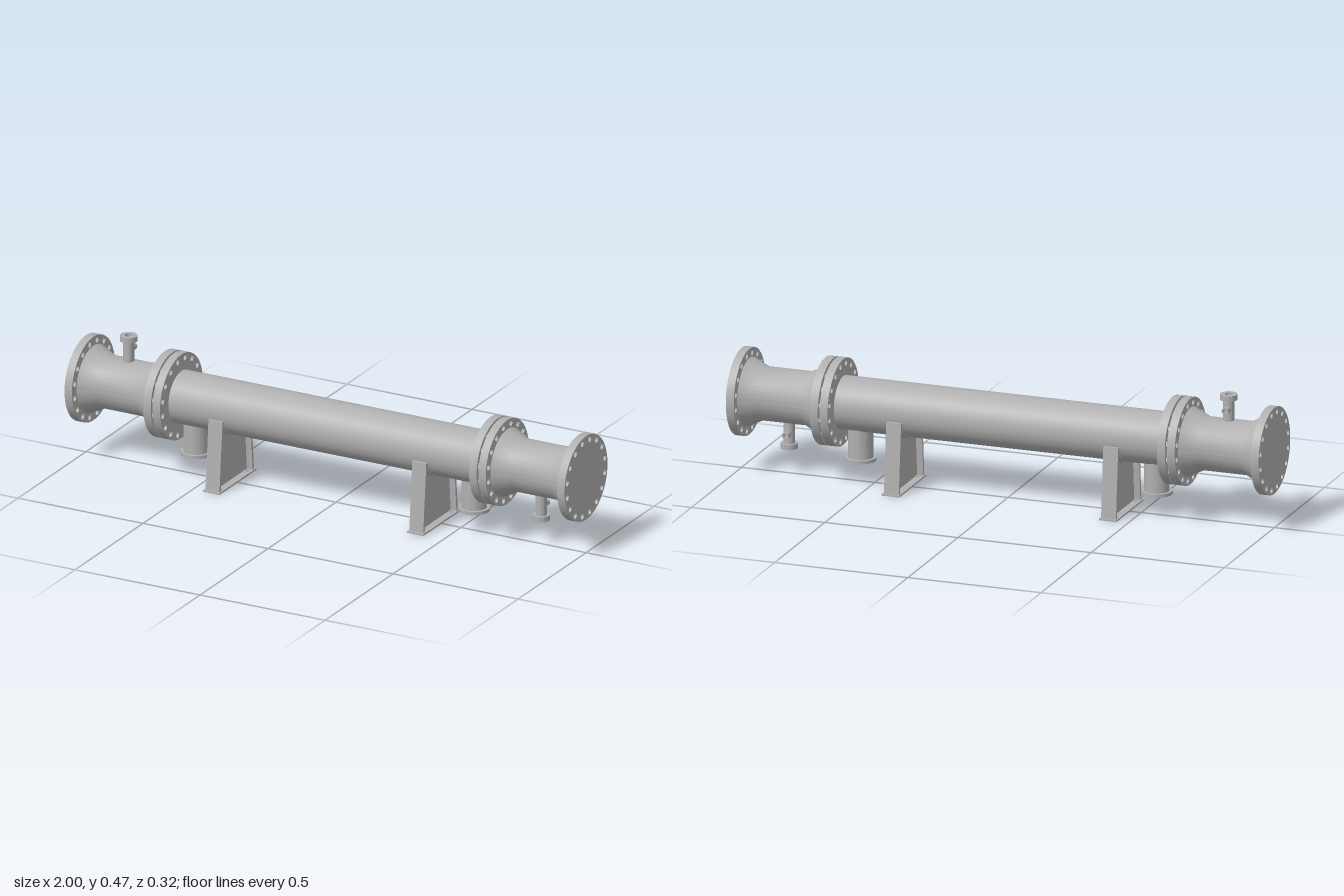
import * as THREE from 'three';
import { toCreasedNormals } from 'three/addons/utils/BufferGeometryUtils.js';

const AXIS = 0.283;      // height of the shell axis
const SHELL_R = 0.096;

export function createModel() {
  const model = new THREE.Group();
  model.name = 'heatExchanger';
  const steel = new THREE.MeshStandardMaterial({ color: 0xb0b0b0 });
  steel.name = 'greySteel';

  const add = (parent, name, geometry) => {
    const mesh = new THREE.Mesh(geometry, steel);
    mesh.name = name;
    parent.add(mesh);
    return mesh;
  };
  // Turned part around y; profile is [radius, height] pairs, outside going up
  const turned = (profile, segments = 64) => toCreasedNormals(
    new THREE.LatheGeometry(profile.map(([r, y]) => new THREE.Vector2(r, y)), segments), 0.5);
  // Plate extruded along x, centred on x = 0; shape is drawn in (z, y)
  const plate = (shape, depth, curveSegments = 24) => toCreasedNormals(
    new THREE.ExtrudeGeometry(shape, { depth, bevelEnabled: false, curveSegments })
      .translate(0, 0, -depth / 2).rotateY(Math.PI / 2), 0.5);
  const polygon = points => new THREE.Shape(points.map(([x, y]) => new THREE.Vector2(x, y)));

  // Main shell
  add(model, 'shell', new THREE.CylinderGeometry(SHELL_R, SHELL_R, 1.25, 96)
    .rotateZ(Math.PI / 2)).position.y = AXIS;

  // Drilled flange disc with sixteen bolt holes
  const disc = new THREE.Shape().absarc(0, 0, 0.158, 0, Math.PI * 2);
  for (let i = 0; i < 16; i++) {
    const a = (i + 0.5) * Math.PI / 8;
    disc.holes.push(new THREE.Path().absarc(
      0.14 * Math.cos(a), 0.14 * Math.sin(a), 0.0108, 0, Math.PI * 2, true));
  }
  const flangeGeometry = plate(disc, 0.03, 32);

  // Channel at each end with coned necks, flanges and gasket
  const channelGeometry = turned([
    [0.125, 0.683], [0.121, 0.692], [SHELL_R, 0.745],
    [SHELL_R, 0.91], [0.121, 0.963], [0.125, 0.972]], 96);
  for (const side of [-1, 1]) {
    const end = new THREE.Group();
    end.name = side > 0 ? 'leftChannel' : 'rightChannel';
    end.position.y = AXIS;
    model.add(end);
    add(end, 'channelNeck', channelGeometry).rotation.z = -side * Math.PI / 2;
    const flanges = { shellFlange: 0.633, channelFlange: 0.67, endFlange: 0.985 };
    for (const [name, x] of Object.entries(flanges)) {
      add(end, name, flangeGeometry).position.x = side * x;
    }
    add(end, 'gasket', new THREE.CylinderGeometry(0.124, 0.124, 0.012, 64)
      .rotateZ(Math.PI / 2)).position.x = side * 0.6515;
  }

  // Hollow flanged nozzle, standing on the shell axis
  const nozzle = (name, x, down, bore, radius, flangeRadius, flangeDepth, length) => {
    const group = new THREE.Group();
    group.name = name;
    group.position.set(x, AXIS, 0);
    if (down) group.rotation.z = Math.PI;
    model.add(group);
    const neck = length - flangeDepth;
    add(group, 'nozzlePipe', turned([
      [radius, 0.07], [radius, neck], [flangeRadius, neck], [flangeRadius, length],
      [bore, length], [bore, 0.07]], 48));
    return group;
  };
  nozzle('rightShellNozzle', -0.559, true, 0.035, 0.045, 0.056, 0.012, 0.205);
  nozzle('leftShellNozzle', 0.553, true, 0.035, 0.045, 0.056, 0.012, 0.205);

  // Vent and drain, each with a small side coupling towards the back
  const coupling = turned([
    [0.013, 0.015], [0.013, 0.039], [0.008, 0.039], [0.008, 0.021], [0, 0.021]], 32)
    .rotateX(-Math.PI / 2);
  for (const [name, x, down] of [['topVent', -0.829, false], ['bottomDrain', 0.821, true]]) {
    const vent = nozzle(name, x, down, 0.014, 0.02, 0.031, 0.02, 0.191);
    add(vent, 'sideCoupling', coupling).position.y = 0.137;
  }

  // Saddle parts: web, sloping end plates, curved pad and base
  const web = polygon([[-0.12, 0.005], [0.12, 0.005], [0.1, 0.25], [0.09, 0.25]]);
  web.absarc(0, AXIS, SHELL_R, -0.35, -Math.PI + 0.35, true);
  web.lineTo(-0.1, 0.25);
  const webGeometry = plate(web, 0.01);

  const pad = new THREE.Shape();
  pad.absarc(0, AXIS, 0.101, -Math.PI + 0.23, -0.23, false);
  pad.absarc(0, AXIS, 0.094, -0.23, -Math.PI + 0.23, true);
  const padGeometry = plate(pad, 0.054);

  const endGeometry = s => plate(polygon([
    [s * 0.117, 0.005], [s * 0.127, 0.005], [s * 0.105, 0.262], [s * 0.095, 0.262]]), 0.056);

  const base = polygon([[-0.033, -0.136], [0.033, -0.136], [0.033, 0.136], [-0.033, 0.136]]);
  for (const [x, z] of [[-0.018, -0.1], [0.018, -0.1], [-0.018, 0.1], [0.018, 0.1]]) {
    base.holes.push(new THREE.Path().absarc(x, z, 0.007, 0, Math.PI * 2, true));
  }
  const baseGeometry = new THREE.ExtrudeGeometry(base, { depth: 0.006, bevelEnabled: false })
    .rotateX(-Math.PI / 2);

  for (const [name, x] of [['rightSaddle', -0.425], ['leftSaddle', 0.39]]) {
    const saddle = new THREE.Group();
    saddle.name = name;
    saddle.position.x = x;
    model.add(saddle);
    add(saddle, 'saddleWeb', webGeometry);
    add(saddle, 'saddlePad', padGeometry);
    add(saddle, 'backEndPlate', endGeometry(1));
    add(saddle, 'frontEndPlate', endGeometry(-1));
    add(saddle, 'basePlate', baseGeometry);
  }
  return model;
}
